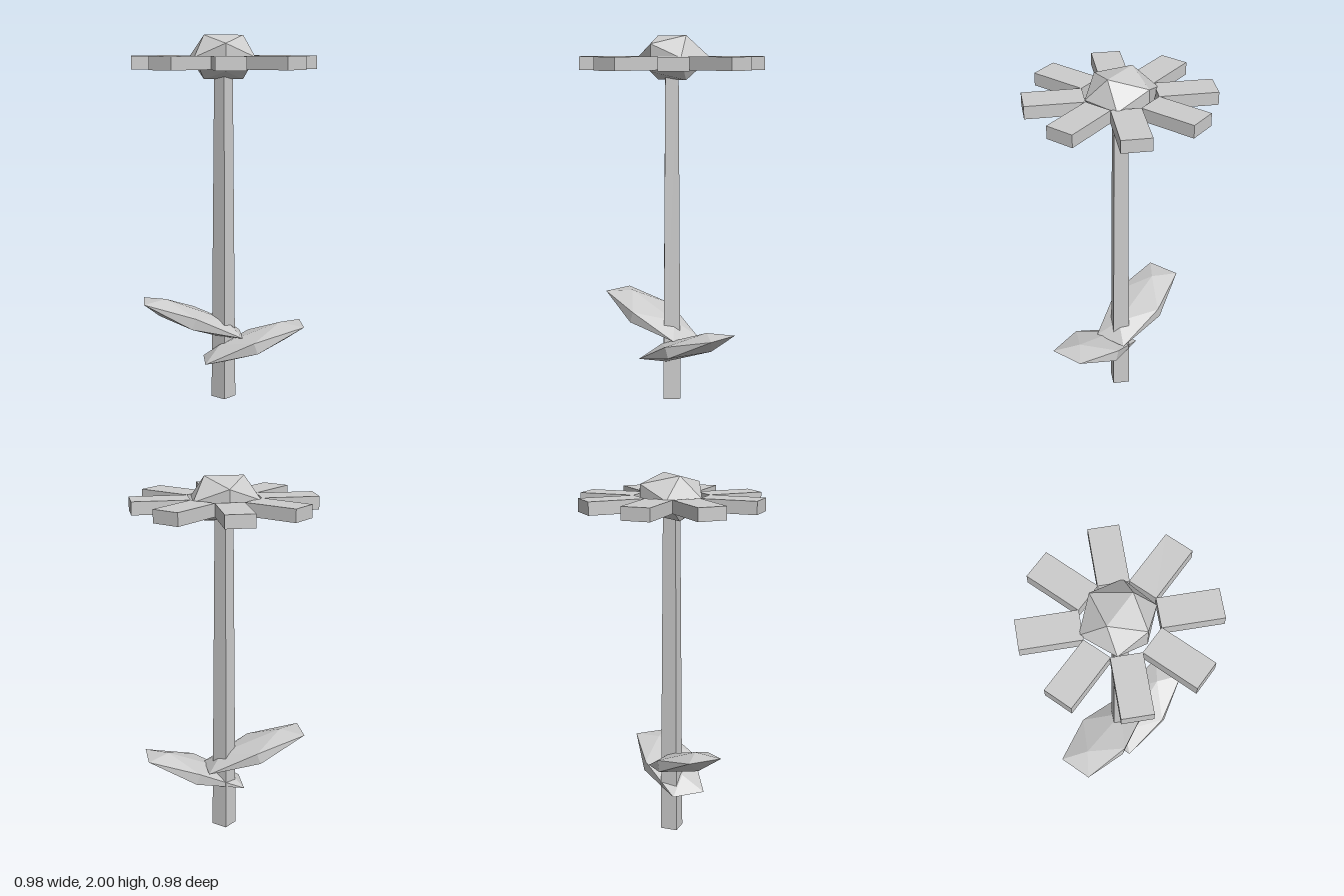
import * as THREE from 'three';

export function createModel() {
  const group = new THREE.Group();
  group.name = 'flower';
  const grey = new THREE.MeshStandardMaterial({ color: 0xcccccc, flatShading: true });
  grey.name = 'plain grey';

  const add = (name, geometry, x, y, z) => {
    const mesh = new THREE.Mesh(geometry, grey);
    mesh.name = name;
    mesh.position.set(x, y, z);
    group.add(mesh);
    return mesh;
  };

  // Four-sided tapering stem, corners on the axes
  add('stem', new THREE.CylinderGeometry(0.05, 0.067, 1.84, 4), 0, 0.92, 0);

  // Flattened faceted flower centre, slightly fuller at the back
  const centre = new THREE.IcosahedronGeometry(0.2, 0);
  const p = centre.attributes.position;
  for (let i = 0; i < p.count; i++) {
    const z = p.getZ(i);
    const s = 1 - 0.05 * Math.sign(Math.abs(z) < 1e-4 ? 0 : z);
    p.setXYZ(i, p.getX(i) * s, p.getY(i) * 0.69, z * s);
  }
  centre.computeVertexNormals();
  add('flowerCentre', centre, 0, 1.883, 0);

  // Ring of eight block petals
  for (let i = 0; i < 8; i++) {
    const petal = new THREE.BoxGeometry(0.307, 0.07, 0.156);
    petal.translate(0.3385, 0, 0);
    add('petal' + (i + 1), petal, 0, 1.855, 0).rotation.y = (i * Math.PI) / 4;
  }

  // Two long faceted leaves, one on each side
  const leaf = (name, x, y, z, tilt) => {
    const geometry = new THREE.IcosahedronGeometry(1, 0);
    geometry.scale(0.338, 0.06, 0.178);
    add(name, geometry, x, y, z).rotation.z = tilt;
  };
  leaf('leftLeaf', 0.16, 0.325, 0.055, 0.352);
  leaf('rightLeaf', -0.17, 0.452, -0.003, -0.354);

  return group;
}
